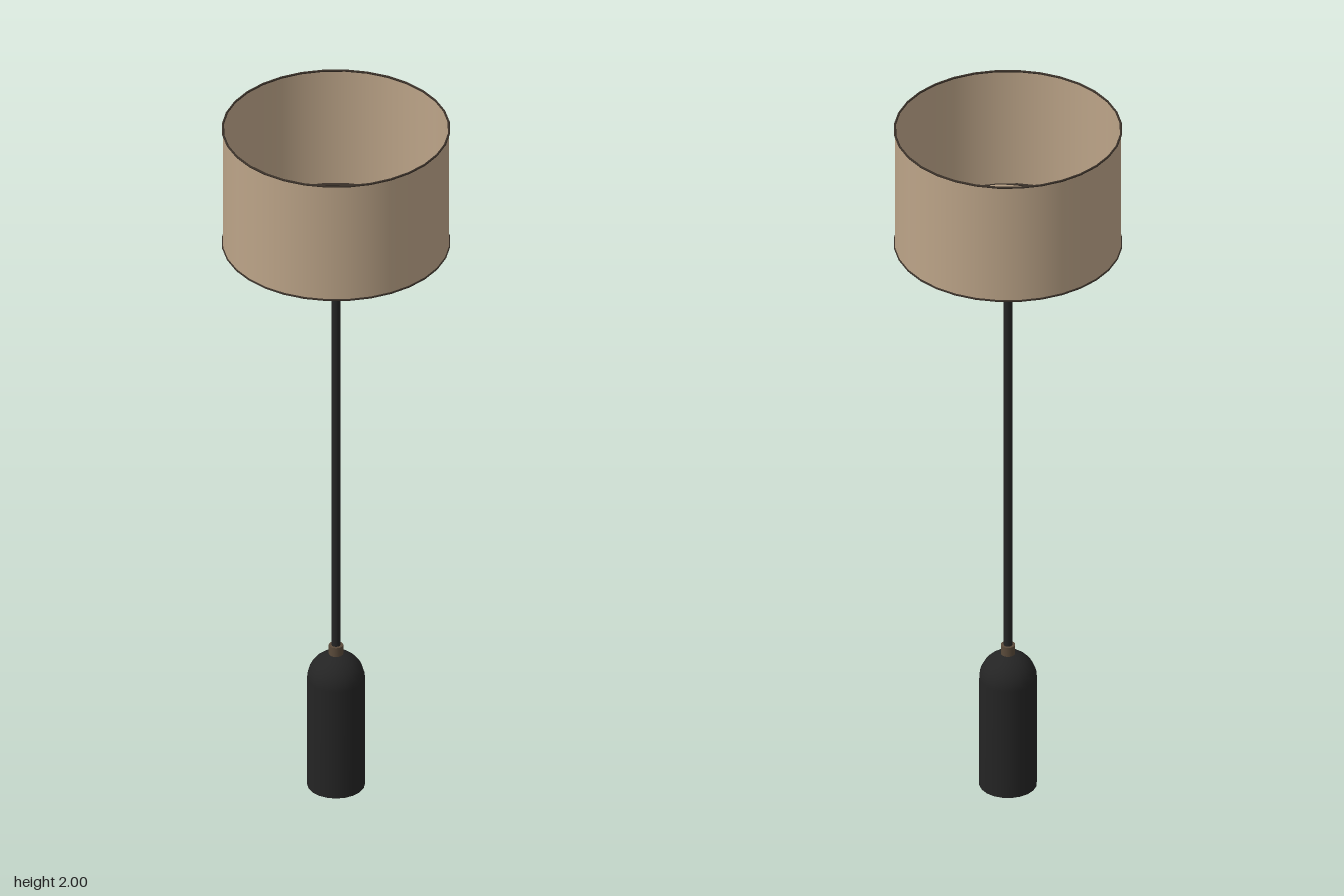
import * as THREE from 'three';

const SIDES = 32;
const SHADE_R = 0.297, SHADE_BOTTOM = 1.652, SHADE_TOP = 1.998;
const HOLE_R = 0.12, HOLE_Y = 1.714;

const material = (name, color, side = THREE.FrontSide) => {
  const m = new THREE.MeshStandardMaterial({ color, side });
  m.name = name;
  return m;
};

export function createModel() {
  const fabric = material('tan fabric', 0xbca488, THREE.DoubleSide);
  const trim = material('dark brown trim', 0x3a3129, THREE.DoubleSide);
  const black = material('matt black', 0x242424);
  const bronze = material('bronze', 0x5a4a3a);

  const model = new THREE.Group();
  model.name = 'floorLamp';
  const add = (name, geometry, mat, y = 0, parent = model) => {
    const mesh = new THREE.Mesh(geometry, mat);
    mesh.name = name;
    mesh.position.y = y;
    parent.add(mesh);
    return mesh;
  };

  // Base: upright body with a domed top
  const profile = [new THREE.Vector2(0, 0), new THREE.Vector2(0.076, 0), new THREE.Vector2(0.076, 0)];
  for (let i = 0; i <= 8; i++) {
    const a = (i / 8) * Math.PI / 2;
    profile.push(new THREE.Vector2(0.076 * Math.cos(a), 0.324 + 0.076 * Math.sin(a)));
  }
  add('base', new THREE.LatheGeometry(profile, 20), black);

  // Collar and stem
  add('collar', new THREE.CylinderGeometry(0.019, 0.019, 0.03, 16), bronze, 0.409);
  add('stem', new THREE.CylinderGeometry(0.0115, 0.0115, 1.37, 12), black, 1.085);

  // Shade: open drum with a shallow cone rising inward to a round hole
  const shade = new THREE.Group();
  shade.name = 'shade';
  shade.rotation.y = Math.PI / SIDES;
  model.add(shade);
  const height = SHADE_TOP - SHADE_BOTTOM;
  add('shadeWall', new THREE.CylinderGeometry(SHADE_R, SHADE_R, height, SIDES, 1, true),
    fabric, SHADE_BOTTOM + height / 2, shade);
  add('shadeCone', new THREE.CylinderGeometry(HOLE_R, SHADE_R, HOLE_Y - SHADE_BOTTOM, SIDES, 1, true),
    fabric, (HOLE_Y + SHADE_BOTTOM) / 2, shade);

  // Dark wire trim around the rims and the hole
  for (const [name, r, y] of [
    ['topRim', SHADE_R, SHADE_TOP], ['bottomRim', SHADE_R, SHADE_BOTTOM], ['holeRim', HOLE_R, HOLE_Y],
  ]) {
    add(name, new THREE.TorusGeometry(r, 0.003, 6, SIDES).rotateX(Math.PI / 2), trim, y, shade);
  }

  // Thin dark patches on both faces of the cone, at the front and back
  const outline = [[-0.087, 0.28], [-0.075, 0.271], [0, 0.269], [0.075, 0.271],
    [0.087, 0.28], [0.03, 0.293], [-0.03, 0.293]].map(([x, z]) => new THREE.Vector2(x, z));
  const slope = (HOLE_Y - SHADE_BOTTOM) / (SHADE_R - HOLE_R);
  for (const [end, turn] of [['front', 0], ['back', Math.PI]]) {
    for (const offset of [0.004, -0.004]) {
      const patch = new THREE.ShapeGeometry(new THREE.Shape(outline));
      const p = patch.attributes.position;
      for (let i = 0; i < p.count; i++) {
        const x = p.getX(i), z = p.getY(i);
        p.setXYZ(i, x, SHADE_BOTTOM + (SHADE_R - Math.hypot(x, z)) * slope + offset, z);
      }
      // Face the plate upward
      patch.setIndex(Array.from(patch.index.array).reverse());
      patch.computeVertexNormals();
      add(end + 'Patch', patch, trim).rotation.y = turn;
    }
  }

  return model;
}
